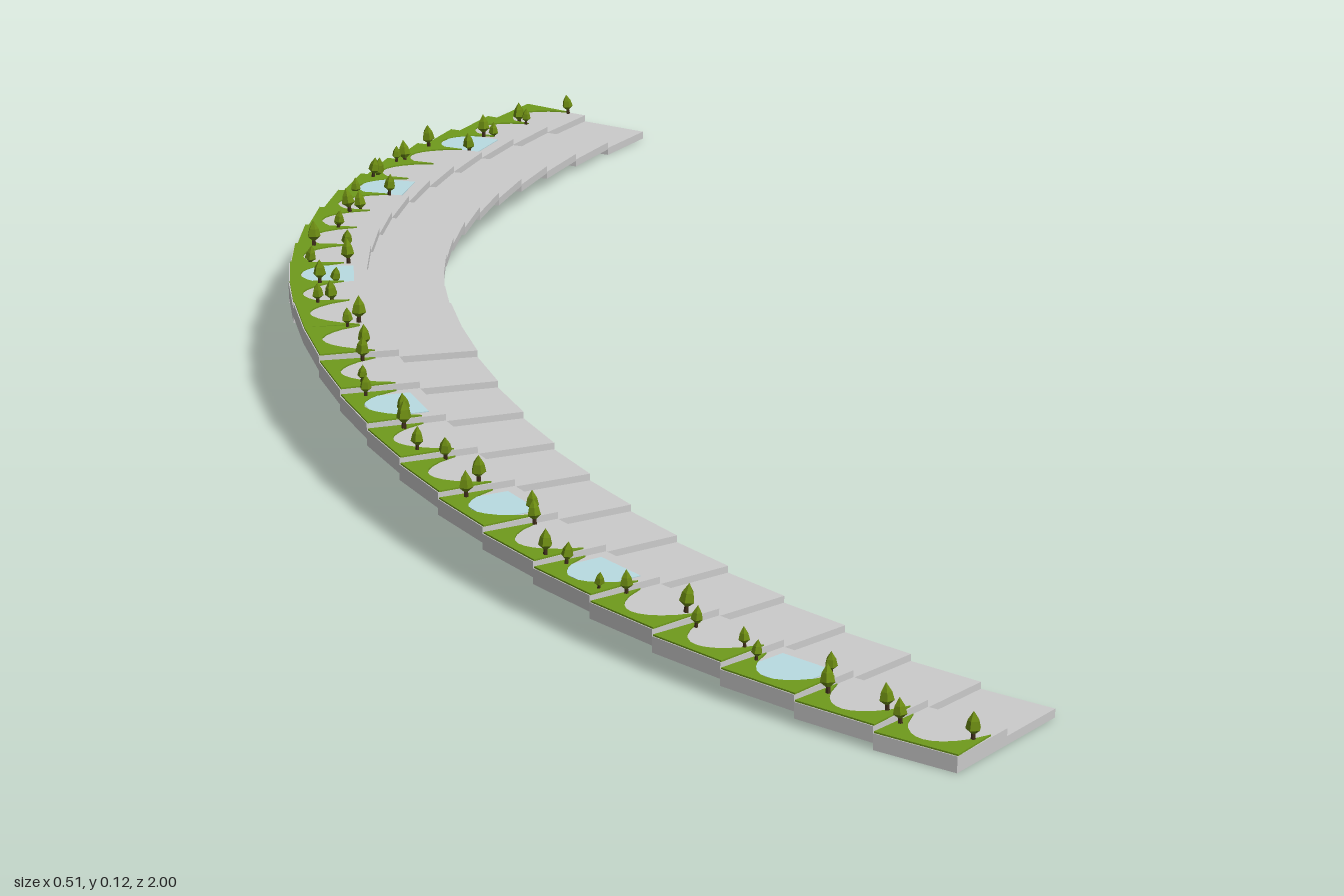
import * as THREE from 'three';

const CX = 1.193, R_IN = 1.295, R_MID = 1.372, R_OUT = 1.45;
const COUNT = 26, HALF = THREE.MathUtils.degToRad(43.6), STEP = (2 * HALF) / COUNT;
const RISE = 0.0064, ROAD_H = 0.008, BED_H = 0.015;

const mat = (color) => new THREE.MeshStandardMaterial({ color, flatShading: true, roughness: 0.9 });

// Point on the plan, from radius and angle along the arc
const plan = (r, a) => new THREE.Vector2(CX - r * Math.cos(a), -r * Math.sin(a));

// Flat slab standing on y0 with the given plan outline
function slab(name, points, y0, height, material) {
  const g = new THREE.ExtrudeGeometry(new THREE.Shape(points), { depth: height, bevelEnabled: false });
  g.rotateX(-Math.PI / 2);
  const mesh = new THREE.Mesh(g, material);
  mesh.name = name;
  mesh.position.y = y0;
  return mesh;
}

const sector = (r0, r1, a0, a1) => [plan(r0, a0), plan(r1, a0), plan(r1, a1), plan(r0, a1)];

export function createModel() {
  const model = new THREE.Group();
  model.name = 'curvedTerracedWalkway';
  const grey = mat(0xcccccc), grass = mat(0x6f9a1c), leaf = mat(0x6b8a12);
  const bark = mat(0x3d2c1a), water = mat(0xb9dbe2);

  let seed = 11;
  const rand = () => (seed = (seed * 16807) % 2147483647) / 2147483647;

  // Shared low-poly tree parts, one unit tall
  const crownGeo = new THREE.LatheGeometry(
    [[0, 0.15], [0.27, 0.38], [0.2, 0.68], [0, 1]].map(([x, y]) => new THREE.Vector2(x, y)), 5);
  const trunkGeo = new THREE.CylinderGeometry(0.07, 0.09, 0.3, 5).translate(0, 0.15, 0);

  function tree(r, a, y) {
    const t = new THREE.Group();
    t.name = 'tree';
    const crown = new THREE.Mesh(crownGeo, leaf), trunk = new THREE.Mesh(trunkGeo, bark);
    crown.name = 'crown';
    trunk.name = 'trunk';
    t.add(crown, trunk);
    const p = plan(r, a);
    t.position.set(p.x, y, -p.y);
    t.rotation.set((rand() - 0.5) * 0.3, rand() * 6.28, (rand() - 0.5) * 0.3);
    t.scale.setScalar(0.018 + rand() * 0.01);
    return t;
  }

  // Inner edge of the planting: a rounded bay in every terrace
  const bay = (u) => 1.385 + 0.053 * Math.pow(Math.sin(Math.PI * u), 0.6);

  for (let i = 0; i < COUNT; i++) {
    const a0 = -HALF + i * STEP, a1 = a0 + STEP;
    const at = (u) => a0 + u * STEP;
    const level = Math.min(i, COUNT - 1 - i);
    const y = level * RISE, top = y + BED_H;
    const terrace = new THREE.Group();
    terrace.name = 'terrace';

    // Path on the inside and raised bed on the outside
    terrace.add(slab('pathSlab', sector(R_IN, R_MID, a0, a1), y, ROAD_H, grey));
    terrace.add(slab('bedSlab', sector(R_MID, R_OUT, a0, a1), y, BED_H, grey));

    // Grass with a scalloped inner edge
    const edge = [];
    for (let k = 0; k <= 10; k++) edge.push(plan(bay(0.02 + 0.096 * k), at(0.02 + 0.096 * k)));
    terrace.add(slab('grass', [plan(R_OUT - 0.001, a1), plan(R_OUT - 0.001, a0), ...edge], top, 0.0015, grass));

    // Shallow pools on some of the terraces
    const fromTop = COUNT / 2 - 1 - level;
    if ([2, 7, 10].includes(fromTop) || i === 18)
      terrace.add(slab('pool', sector(1.385, 1.436, at(0.14), at(0.86)), top, 0.0008, water));

    // Trees on the grass spurs at both ends
    for (const u of [0.09, 0.9])
      terrace.add(tree(1.39 + rand() * 0.045, at(u + (rand() - 0.5) * 0.08), top + 0.001));
    model.add(terrace);
  }
  return model;
}
